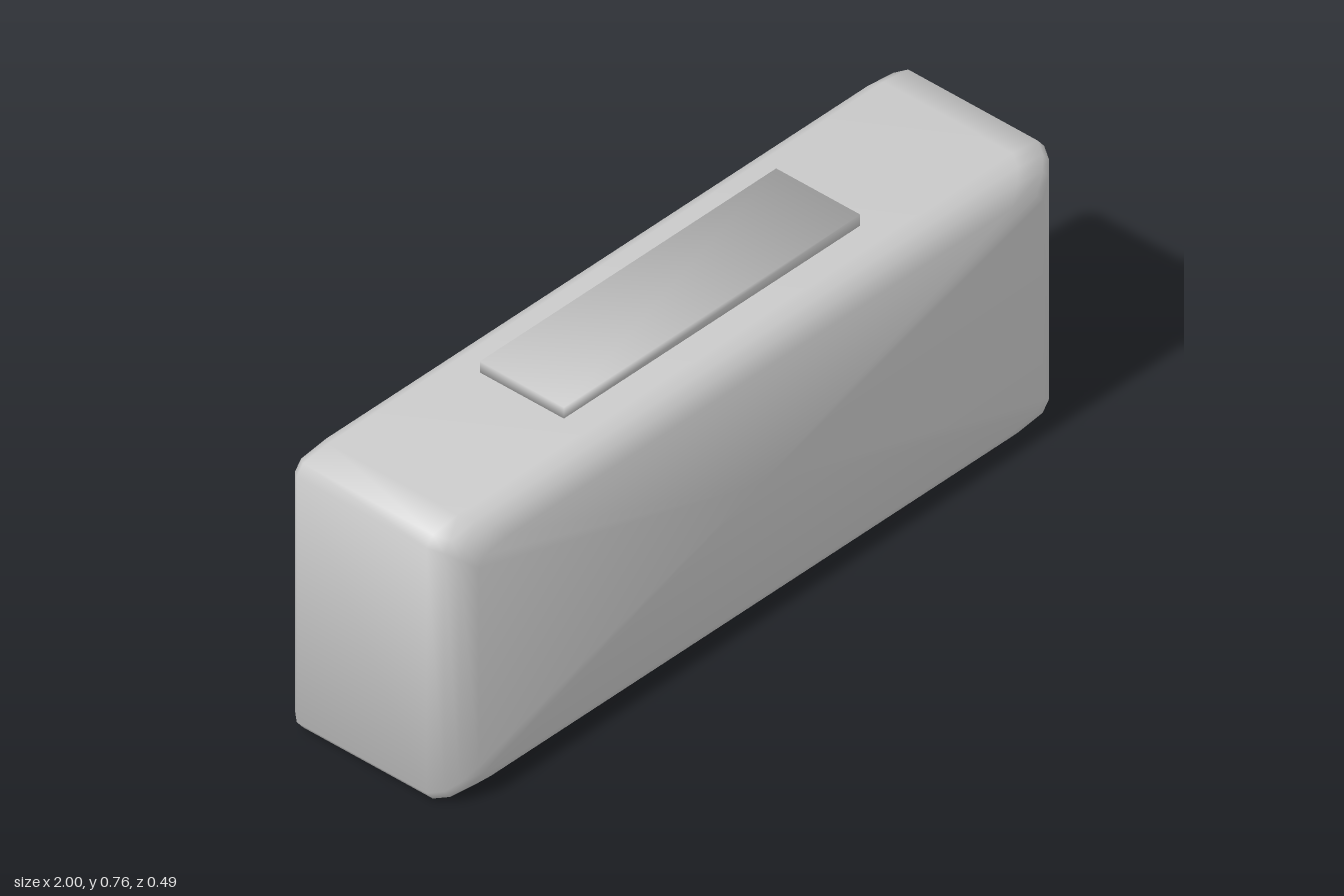
import * as THREE from 'three';
import { mergeVertices } from 'three/addons/utils/BufferGeometryUtils.js';

const material = new THREE.MeshStandardMaterial({ color: 0xcccccc });

// Body sections from back to front: [z, inset in x, inset in y]
const SECTIONS = [
  [-0.245, 0.1, 0.035], [-0.234, 0.02, 0.01], [-0.21, 0, 0],
  [0.17, 0, 0], [0.203, 0.02, 0.01], [0.225, 0.045, 0.03], [0.245, 0.085, 0.063],
];
const CORNER = [[0, 0.035], [0.02, 0.01], [0.1, 0]];

// Welds a geometry and blends its normals by face angle, for soft shading across every edge
function softened(geometry) {
  geometry.deleteAttribute('normal');
  geometry.deleteAttribute('uv');
  const g = mergeVertices(geometry);
  const pos = g.attributes.position, index = g.index.array;
  const normals = Array.from({ length: pos.count }, () => new THREE.Vector3());
  for (let i = 0; i < index.length; i += 3) {
    const ids = [index[i], index[i + 1], index[i + 2]];
    const p = ids.map((id) => new THREE.Vector3().fromBufferAttribute(pos, id));
    const face = new THREE.Triangle(...p).getNormal(new THREE.Vector3());
    ids.forEach((id, k) => {
      const u = p[(k + 1) % 3].clone().sub(p[k]), v = p[(k + 2) % 3].clone().sub(p[k]);
      normals[id].addScaledVector(face, u.angleTo(v));
    });
  }
  const flat = normals.flatMap((n) => n.normalize().toArray());
  g.setAttribute('normal', new THREE.Float32BufferAttribute(flat, 3));
  return g;
}

// Outline of one section, counter-clockwise seen from the front
function sectionLoop(halfX, halfY) {
  const loop = [];
  for (const [sx, sy] of [[1, 1], [-1, 1], [-1, -1], [1, -1]]) {
    const pts = CORNER.map(([cx, cy]) => [sx * (halfX - cx), sy * (halfY - cy)]);
    loop.push(...(sx * sy < 0 ? pts.reverse() : pts));
  }
  return loop;
}

function bodyGeometry(width, height) {
  const pos = [], index = [], n = CORNER.length * 4;
  for (const [z, ix, iy] of SECTIONS)
    for (const [x, y] of sectionLoop(width / 2 - ix, height / 2 - iy)) pos.push(x, y, z);
  const last = (SECTIONS.length - 1) * n, back = SECTIONS.length * n, front = back + 1;
  pos.push(0, 0, SECTIONS[0][0], 0, 0, SECTIONS[SECTIONS.length - 1][0]);
  for (let k = 0; k < n; k++) {
    const k1 = (k + 1) % n;
    for (let r = 0; r < last; r += n)
      index.push(r + k, r + k1, r + n + k1, r + k, r + n + k1, r + n + k);
    index.push(back, k1, k, front, last + k, last + k1);
  }
  const g = new THREE.BufferGeometry();
  g.setAttribute('position', new THREE.Float32BufferAttribute(pos, 3));
  g.setIndex(index);
  return g;
}

export function createModel() {
  const model = new THREE.Group();
  model.name = 'deviceCase';
  const add = (name, geometry, x, y, z) => {
    const mesh = new THREE.Mesh(softened(geometry), material);
    mesh.name = name;
    mesh.position.set(x, y, z);
    model.add(mesh);
    return mesh;
  };

  // Case with soft edges, wider bevel at the front
  add('body', bodyGeometry(1.97, 0.73), -0.015, 0.365, 0);

  // Raised bar on top
  add('topBar', new THREE.BoxGeometry(0.945, 0.03, 0.246), -0.0175, 0.745, -0.019);

  // Two round buttons on the left end
  for (const [name, r, y, tip] of [['smallButton', 0.065, 0.431, 0.99], ['largeButton', 0.09, 0.232, 1]]) {
    const base = 0.97, depth = tip - base;
    const button = add(name, new THREE.CylinderGeometry(r, r, depth, 48), base + depth / 2, y, -0.017);
    button.rotation.z = -Math.PI / 2;
  }
  return model;
}
